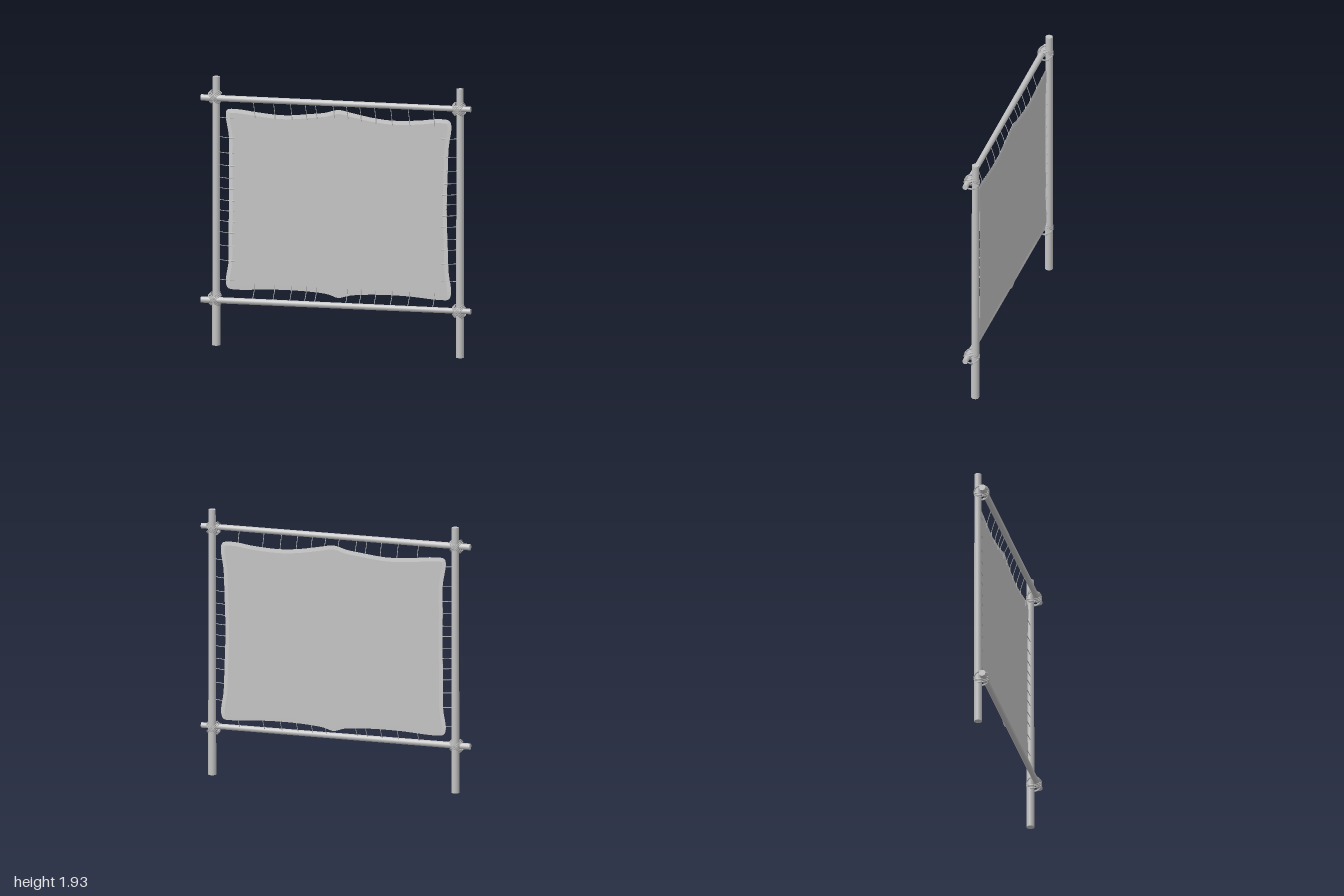
import * as THREE from 'three';

const material = (name, color) => {
  const m = new THREE.MeshStandardMaterial({ color });
  m.name = name;
  return m;
};

export function createModel() {
  const model = new THREE.Group();
  const wood = material('pale grey wood', 0xc2c2c2);
  const hide = material('stretched hide', 0xc4c4c4);
  const hideEdge = material('hide edge', 0xcccccc);
  const cord = material('cord', 0xbababa);
  const v = (x, y, z) => new THREE.Vector3(x, y, z);

  const add = (name, geometry, mat, parent = model) => {
    const mesh = new THREE.Mesh(geometry, mat);
    mesh.name = name;
    parent.add(mesh);
    return mesh;
  };

  // Tapered pole between two points
  const pole = (name, a, b, ra, rb) => {
    const mesh = add(name, new THREE.CylinderGeometry(rb, ra, a.distanceTo(b), 16), wood);
    mesh.position.copy(a).lerp(b, 0.5);
    mesh.quaternion.setFromUnitVectors(v(0, 1, 0), b.clone().sub(a).normalize());
  };
  pole('leftPost', v(0.905, 0, -0.025), v(0.905, 1.925, -0.027), 0.029, 0.0255);
  pole('rightPost', v(-0.905, 0, -0.025), v(-0.905, 1.925, -0.027), 0.029, 0.0255);
  pole('topRail', v(-1, 1.777, 0.024), v(1, 1.789, 0.022), 0.023, 0.02);
  pole('bottomRail', v(-1, 0.33, 0.024), v(1, 0.342, 0.022), 0.023, 0.02);

  // Crossed lashings where rails meet posts
  for (const x of [-0.905, 0.905]) {
    for (const y of [0.336, 1.783]) {
      const lashing = new THREE.Group();
      lashing.name = 'lashing';
      lashing.position.set(x, y, 0);
      for (const side of [-1, 1]) {
        for (const offset of [-0.011, 0, 0.011]) {
          const loop = new THREE.TorusGeometry(0.053, 0.004, 6, 24);
          loop.rotateX(Math.PI / 2).translate(0, offset, 0).rotateZ(side * Math.PI / 4);
          add('lashingLoop', loop, cord, lashing);
        }
      }
      model.add(lashing);
    }
  }

  // Hide with a wavy outline and a thinned border
  const outline = [
    [-0.835, 1.65], [-0.825, 1.69], [-0.75, 1.697], [-0.6, 1.682], [-0.4, 1.67], [-0.2, 1.69],
    [-0.1, 1.703], [0, 1.728], [0.1, 1.712], [0.25, 1.685], [0.4, 1.672], [0.6, 1.682],
    [0.75, 1.7], [0.825, 1.69], [0.84, 1.65], [0.82, 1.5], [0.812, 1.3], [0.805, 1.05],
    [0.812, 0.8], [0.82, 0.6], [0.838, 0.46], [0.82, 0.412], [0.75, 0.405], [0.5, 0.42],
    [0.25, 0.418], [0.08, 0.402], [0, 0.382], [-0.08, 0.405], [-0.25, 0.418], [-0.5, 0.418],
    [-0.75, 0.405], [-0.82, 0.415], [-0.835, 0.46], [-0.815, 0.6], [-0.815, 0.8],
    [-0.81, 1.05], [-0.812, 1.3], [-0.812, 1.5],
  ].map(([x, y]) => v(x, y, 0));
  const edge = new THREE.CatmullRomCurve3(outline, true).getPoints(150).slice(0, -1);
  const shape = new THREE.Shape(edge.map((p) => new THREE.Vector2(p.x, p.y)));
  const sheet = new THREE.ExtrudeGeometry(shape, {
    depth: 0.002, bevelEnabled: true, bevelThickness: 0.003,
    bevelSize: 0.028, bevelOffset: -0.028, bevelSegments: 1,
  });
  add('hide', sheet, [hide, hideEdge]).position.z = -0.029;

  // Ties from the frame to the hide, each with a thicker stitch on the hide
  const tie = (frame, rim, inner) => {
    const path = new THREE.CatmullRomCurve3([frame, rim, inner]);
    add('tie', new THREE.TubeGeometry(path, 6, 0.0025, 5), cord);
    add('stitch', new THREE.TubeGeometry(new THREE.LineCurve3(rim, inner), 1, 0.0035, 5), cord);
  };
  const columns = [-0.62, -0.47, -0.345, -0.235, -0.16, 0.07, 0.17, 0.28, 0.4, 0.53, 0.715];
  for (const x of [...columns, -0.03]) {
    const lift = 0.035 * Math.max(0, 1 - Math.abs(x) / 0.3);
    tie(v(x, 1.768, 0.008), v(x + 0.002, 1.675 + lift, -0.02), v(x + 0.004, 1.64 + lift, -0.022));
  }
  for (const x of columns) {
    tie(v(x - 0.004, 0.35, 0.008), v(x, 0.415, -0.02), v(x, 0.452, -0.022));
  }
  const rightRows = [1.63, 1.49, 1.38, 1.29, 1.2, 1.125, 1.04, 0.965, 0.89, 0.81, 0.715, 0.61, 0.47];
  const leftRows = [1.56, 1.43, 1.33, 1.24, 1.16, 1.09, 1.01, 0.93, 0.84, 0.765, 0.665, 0.54];
  for (const [side, rows] of [[-1, rightRows], [1, leftRows]]) {
    for (const y of rows) {
      tie(v(side * 0.885, y + 0.006, -0.022), v(side * 0.815, y, -0.02), v(side * 0.768, y, -0.022));
    }
  }
  return model;
}
